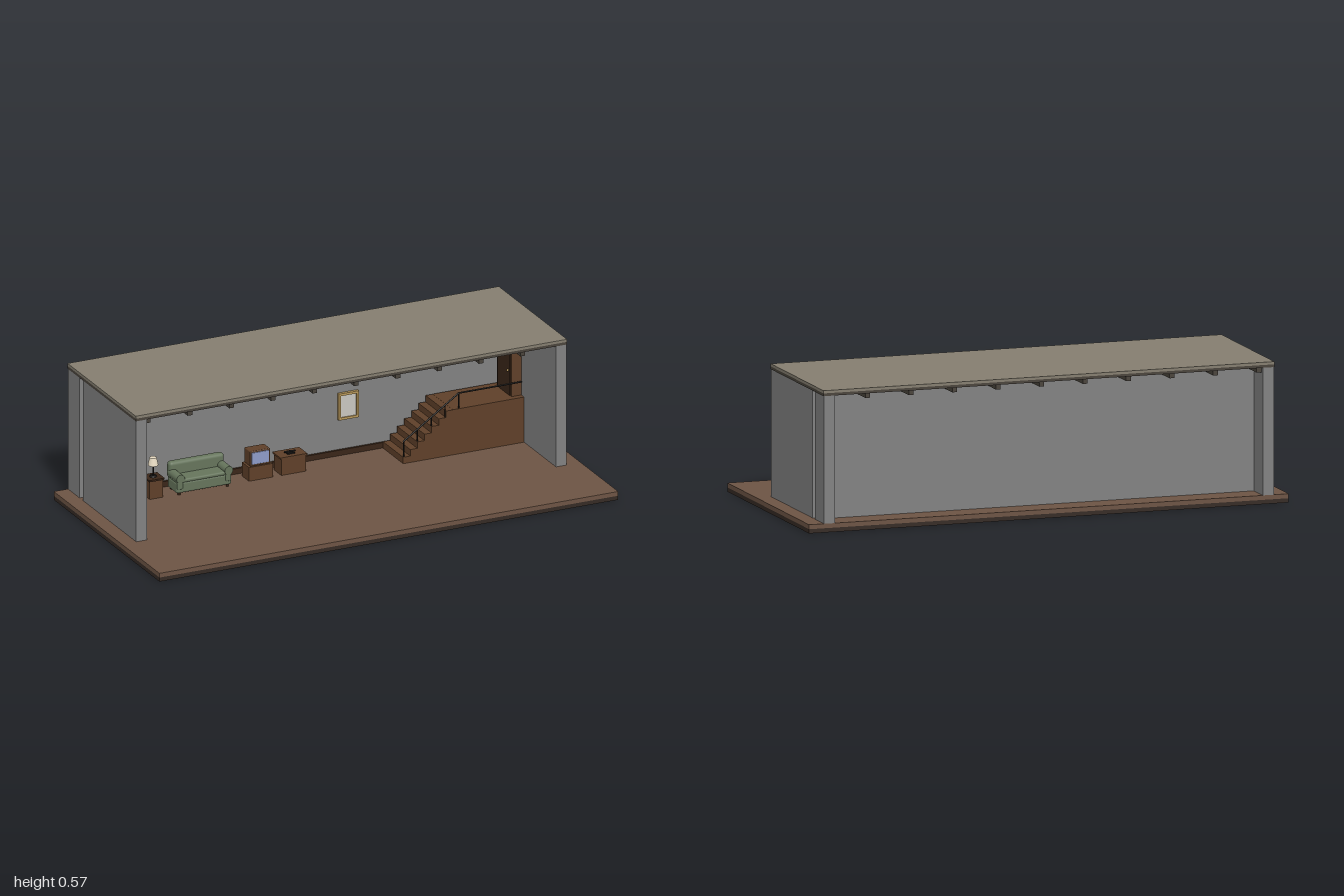
import * as THREE from 'three';
import { RoundedBoxGeometry } from 'three/addons/geometries/RoundedBoxGeometry.js';

const mat = (color) => new THREE.MeshStandardMaterial({ color });
const M = {
  floor: mat(0x6d5444), dark: mat(0x352a24), roof: mat(0x857e70), ceiling: mat(0x4a443c), wall: mat(0x828282),
  wood: mat(0x5f4029), darkWood: mat(0x3a2618), black: mat(0x1a1816), green: mat(0x66755c),
  cream: mat(0xe8dcc4), gold: mat(0xb8985a), pale: mat(0xc9c7c0), screen: mat(0x8f9cc8),
};

function add(parent, name, geo, material, x = 0, y = 0, z = 0) {
  const mesh = new THREE.Mesh(geo, material);
  mesh.name = name;
  mesh.position.set(x, y, z);
  parent.add(mesh);
  return mesh;
}

// box given by its limits on each axis
function box(parent, name, material, [x0, x1], [y0, y1], [z0, z1], radius = 0) {
  const s = [x1 - x0, y1 - y0, z1 - z0];
  const geo = radius ? new RoundedBoxGeometry(...s, 3, radius) : new THREE.BoxGeometry(...s);
  return add(parent, name, geo, material, (x0 + x1) / 2, (y0 + y1) / 2, (z0 + z1) / 2);
}

// thin round bar between two points
function bar(parent, name, material, a, b, r) {
  const p = new THREE.Vector3(...a), q = new THREE.Vector3(...b);
  const d = q.clone().sub(p);
  const mesh = add(parent, name, new THREE.CylinderGeometry(r, r, d.length(), 8), material);
  mesh.position.copy(p).add(q).multiplyScalar(0.5);
  mesh.quaternion.setFromUnitVectors(new THREE.Vector3(0, 1, 0), d.normalize());
  return mesh;
}

function group(parent, name) {
  const g = new THREE.Group();
  g.name = name;
  parent.add(g);
  return g;
}

const F = 0.035; // floor level
const WALL_Z = -0.345; // inner face of the back wall

function buildShell(root) {
  const g = group(root, 'room');
  box(g, 'floorBase', M.dark, [-1, 1], [0, 0.017], [-0.48, 0.48]);
  box(g, 'floor', M.floor, [-1, 1], [0.017, F], [-0.48, 0.48]);
  box(g, 'ceiling', M.ceiling, [-0.94, 0.94], [0.545, 0.556], [-0.48, 0.14]);
  box(g, 'roof', M.roof, [-0.94, 0.94], [0.556, 0.567], [-0.48, 0.14]);
  box(g, 'backWall', M.wall, [-0.92, 0.92], [F, 0.545], [-0.375, WALL_Z]);
  for (const s of [-1, 1]) {
    const xr = s < 0 ? [-0.938, -0.892] : [0.892, 0.938];
    box(g, 'sideWall', M.wall, xr, [F, 0.545], [WALL_Z, 0.14]);
    box(g, 'rearCorner', M.wall, xr, [F, 0.545], [-0.48, -0.375]);
  }
  box(g, 'baseboard', M.darkWood, [-0.892, 0.892], [F, 0.058], [WALL_Z, -0.335]);
  box(g, 'pictureRail', M.black, [-0.892, 0.892], [0.396, 0.403], [WALL_Z, -0.339]);
  // ceiling beams running front to back
  for (let i = 0; i < 10; i++) {
    const x = -0.88 + i * 0.1813;
    box(g, 'beam', M.ceiling, [x - 0.01, x + 0.01], [0.525, 0.545], [-0.47, 0.13]);
  }
}

function buildLamp(root) {
  const g = group(root, 'lampTable');
  box(g, 'tableBody', M.wood, [-0.697, -0.638], [F, 0.11], [-0.3, -0.24]);
  box(g, 'tableTop', M.darkWood, [-0.701, -0.634], [0.11, 0.117], [-0.305, -0.235]);
  const x = -0.668, z = -0.27;
  add(g, 'lampFoot', new THREE.CylinderGeometry(0.012, 0.015, 0.006, 16), M.black, x, 0.12, z);
  bar(g, 'lampPole', M.black, [x, 0.117, z], [x, 0.17, z], 0.003);
  add(g, 'lampShade', new THREE.CylinderGeometry(0.014, 0.021, 0.032, 20), M.cream, x, 0.182, z);
}

function buildSofa(root) {
  const g = group(root, 'sofa');
  box(g, 'sofaBase', M.green, [-0.585, -0.345], [0.043, 0.088], [-0.315, -0.228], 0.008);
  box(g, 'sofaBack', M.green, [-0.585, -0.345], [0.08, 0.152], [-0.325, -0.29], 0.014);
  box(g, 'seatCushion', M.green, [-0.56, -0.37], [0.086, 0.102], [-0.295, -0.225], 0.007);
  for (const x of [-0.57, -0.36]) {
    box(g, 'armPanel', M.green, [x - 0.012, x + 0.012], [0.06, 0.105], [-0.31, -0.224], 0.005);
    const arm = add(g, 'armRoll', new THREE.CylinderGeometry(0.018, 0.018, 0.09, 20), M.green, x, 0.105, -0.267);
    arm.rotation.x = Math.PI / 2;
    for (const z of [-0.305, -0.238]) bar(g, 'sofaLeg', M.darkWood, [x, F, z], [x, 0.046, z], 0.006);
  }
}

function buildTelevision(root) {
  const g = group(root, 'television');
  box(g, 'stand', M.wood, [-0.262, -0.158], [F, 0.093], [-0.31, -0.245]);
  box(g, 'cabinet', M.wood, [-0.254, -0.166], [0.093, 0.157], [-0.305, -0.25], 0.004);
  box(g, 'screen', M.screen, [-0.248, -0.172], [0.1, 0.151], [-0.256, -0.248], 0.003);
}

function buildDesk(root) {
  const g = group(root, 'sideboard');
  box(g, 'sideboardBody', M.wood, [-0.121, -0.014], [F, 0.104], [-0.312, -0.245]);
  box(g, 'sideboardTop', M.wood, [-0.126, -0.009], [0.104, 0.111], [-0.316, -0.241]);
  box(g, 'telephone', M.black, [-0.085, -0.053], [0.111, 0.116], [-0.29, -0.262]);
  bar(g, 'handset', M.black, [-0.094, 0.118, -0.276], [-0.045, 0.118, -0.276], 0.003);
}

function buildPicture(root) {
  const g = group(root, 'wallPicture');
  box(g, 'panel', M.pale, [0.18, 0.252], [0.195, 0.287], [WALL_Z, -0.337]);
  const z = [WALL_Z, -0.332];
  for (const x of [0.172, 0.25]) box(g, 'frameSide', M.gold, [x, x + 0.01], [0.185, 0.297], z);
  for (const y of [0.185, 0.287]) box(g, 'frameRail', M.gold, [0.182, 0.25], [y, y + 0.01], z);
}

function buildStairs(root) {
  const g = group(root, 'staircase');
  const z = [-0.335, -0.15], run = 0.031, rise = 0.0272, x0 = 0.365, zr = -0.156;
  for (let i = 0; i < 7; i++) {
    const x = x0 + i * run;
    box(g, 'step', M.wood, [x, x + run], [F, F + rise * (i + 1)], z);
  }
  box(g, 'landing', M.wood, [x0 + 7 * run, 0.892], [F, 0.226], z);
  // handrail and balusters
  const railY = (x) => Math.min(0.29, 0.125 + (x - 0.367) * 0.68);
  bar(g, 'slopedRail', M.black, [0.367, 0.125, zr], [0.61, 0.29, zr], 0.0035);
  bar(g, 'landingRail', M.black, [0.61, 0.29, zr], [0.885, 0.29, zr], 0.0035);
  for (let i = 0; i < 5; i++) {
    const x = 0.37 + i * 0.06;
    const foot = Math.min(0.226, F + rise * (Math.floor((x - x0) / run) + 1));
    bar(g, 'baluster', M.black, [x, foot, zr], [x, railY(x), zr], 0.003);
  }
  // doorway at the head of the stairs, against the side wall
  box(g, 'doorFrame', M.wood, [0.85, 0.892], [0.226, 0.468], [-0.31, -0.175]);
  box(g, 'doorLeaf', M.darkWood, [0.847, 0.86], [0.226, 0.455], [-0.298, -0.187]);
  add(g, 'doorKnob', new THREE.SphereGeometry(0.005, 12, 8), M.gold, 0.844, 0.33, -0.2);
}

export function createModel() {
  const root = new THREE.Group();
  root.name = 'livingRoomSet';
  for (const build of [buildShell, buildLamp, buildSofa, buildTelevision, buildDesk, buildPicture, buildStairs]) build(root);
  return root;
}
